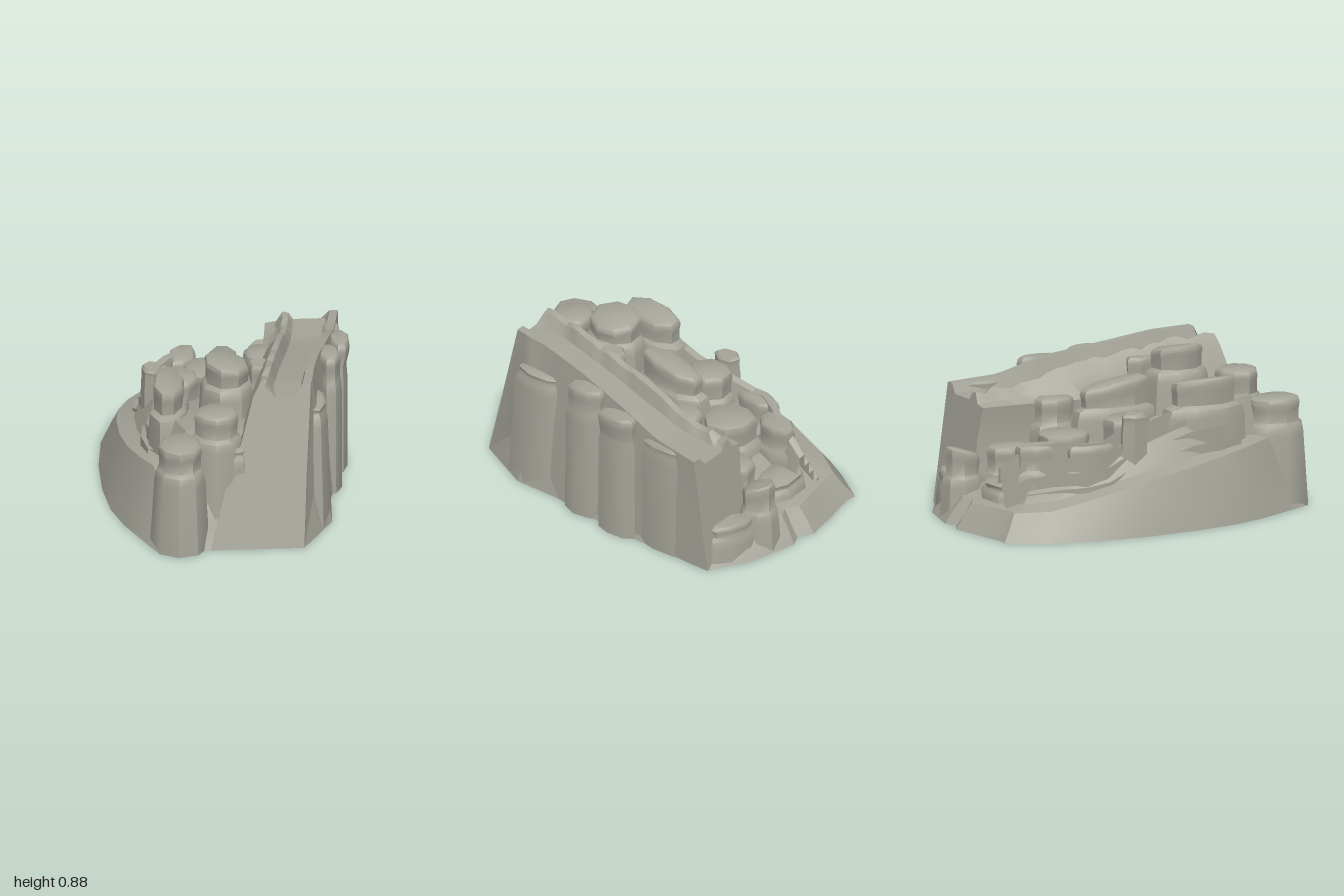
import * as THREE from 'three';
import { toCreasedNormals } from 'three/addons/utils/BufferGeometryUtils.js';

const stone = new THREE.MeshStandardMaterial({ color: 0xa3a398, side: THREE.DoubleSide });
stone.name = 'stone';

const lerp = THREE.MathUtils.lerp;
// piecewise-linear table lookup on the first column
function sample(table, t) {
  let i = 0;
  while (i < table.length - 2 && t > table[i + 1][0]) i++;
  const a = table[i], b = table[i + 1];
  const k = THREE.MathUtils.clamp((t - a[0]) / (b[0] - a[0]), 0, 1);
  return a.map((v, j) => lerp(v, b[j], k));
}
let seed = 7;
const rand = () => ((seed = (seed * 16807) % 2147483647) / 2147483647);

// skin through rings of points; closed rings get end caps
function loft(rings, closed = true, crease = 0.6) {
  const n = rings[0].length, pos = rings.flat(2), idx = [];
  const at = (r, i) => r * n + (i % n);
  for (let r = 0; r < rings.length - 1; r++)
    for (let i = 0; i < (closed ? n : n - 1); i++)
      idx.push(at(r, i), at(r + 1, i), at(r, i + 1), at(r, i + 1), at(r + 1, i), at(r + 1, i + 1));
  if (closed) [0, rings.length - 1].forEach((r) => {
    const c = [0, 1, 2].map((k) => rings[r].reduce((s, p) => s + p[k], 0) / n);
    const ci = pos.length / 3;
    pos.push(...c);
    for (let i = 0; i < n; i++) {
      if (r) idx.push(ci, at(r, i + 1), at(r, i));
      else idx.push(ci, at(r, i), at(r, i + 1));
    }
  });
  const g = new THREE.BufferGeometry();
  g.setAttribute('position', new THREE.Float32BufferAttribute(pos, 3));
  g.setIndex(idx);
  return toCreasedNormals(g, crease);
}

const shelfY = (z) => sample([[-1, 0.13], [-0.7, 0.15], [-0.2, 0.27], [0.4, 0.37], [0.7, 0.4], [0.86, 0.18]], z)[1];
const floorY = (z) => sample([[-0.9, 0.17], [-0.6, 0.25], [-0.3, 0.36], [0, 0.46], [0.5, 0.6]], z)[1];

export function createModel() {
  const group = new THREE.Group();
  const add = (name, geo) => {
    const m = new THREE.Mesh(geo, stone);
    m.name = name;
    group.add(m);
  };

  // sloping rock skirt with a rising shelf and the ground between the columns
  const outline = [
    [0.64, -0.7], [0.62, -0.3], [0.59, 0], [0.54, 0.3], [0.53, 0.58], [0.43, 0.77], [0.36, 0.9],
    [0, 0.9], [-0.43, 0.9], [-0.5, 0.74], [-0.58, 0.56], [-0.64, 0.36], [-0.67, 0.1], [-0.67, -0.2],
    [-0.64, -0.48], [-0.56, -0.76], [-0.43, -0.95], [-0.37, -0.94], [-0.2, -0.97], [0, -1],
    [0.08, -0.95], [0.15, -0.98], [0.43, -0.9], [0.64, -0.76],
  ];
  const ring = (sx, sz, f) => outline.map(([x, z], i) => [x * sx, f(z * sz, i), z * sz]);
  add('rockSkirt', loft([
    ring(1, 1, () => 0),
    ring(0.93, 0.95, (z, i) => shelfY(z) * (0.46 + 0.1 * (i % 2))),
    ring(0.86, 0.9, (z) => shelfY(z)),
    ring(0.72, 0.8, (z) => shelfY(z) + 0.02),
    ring(0.6, 0.74, floorY),
    ring(0.3, 0.4, floorY),
  ], true, 0.4));

  // long ridge with a channel along its top: z, left rim, right rim, right base, rim y, channel y
  const ridge = [
    [-0.68, 0.31, 0.64, 0.64, 0.65, 0.6], [-0.4, 0.28, 0.6, 0.62, 0.67, 0.61],
    [-0.15, 0.24, 0.56, 0.6, 0.75, 0.66], [0.2, 0.18, 0.48, 0.56, 0.81, 0.73],
    [0.45, 0.14, 0.44, 0.51, 0.85, 0.77], [0.58, 0.115, 0.425, 0.52, 0.855, 0.78],
    [0.67, 0.1, 0.41, 0.36, 0.86, 0.79],
  ];
  const stations = [];
  const count = 26;
  for (let i = 0; i <= count; i++) {
    const [z, xl, xr, xb, y, yc] = sample(ridge, lerp(-0.68, 0.67, i / count));
    const jag = i % count ? (rand() - 0.5) * 0.03 : 0;
    const front = THREE.MathUtils.smoothstep(z, 0.5, 0.67);
    const wall = xr + (xb - xr) * 0.6;
    const section = [
      [xl - lerp(0.1, 0.24, front), 0], [xl - 0.04 - front * 0.12, 0.4 - front * 0.1], [xl - 0.06, 0.58],
      [xl + jag * 0.4, y - 0.06], [xl + 0.035 + jag * 0.5, y + jag], [xl + 0.065 + jag * 0.3, y - 0.01 + jag],
      [xl + 0.09 + 0.03 * front, yc], [xr - 0.065, yc], [xr - 0.045, y + jag * 0.3], [xr, y], [wall, 0.4], [xb, 0],
    ];
    const slope = i === count ? 0.23 : i === 0 ? -0.09 : 0;
    stations.push(section.map(([x, h]) => [x, h, z + slope * Math.max(0, 1 - h / y)]));
  }
  add('channelRidge', loft(stations));

  // rock columns: flared foot, shoulder, pinched neck and rounded cap
  // tilt = [rise per x, rise per z] of the top
  function column(name, x, z, rx, rz, y0, y1, { turn = 0, sides = 8, tilt = [0, 0], cap = 0.15, foot = 1.35, shoulder = 1.16, lean = 0 } = {}) {
    const wob = Array.from({ length: sides }, () => 0.94 + rand() * 0.12);
    const profile = [
      [foot, y0], [shoulder + 0.04, y1 - cap - 0.05], [shoulder - 0.03, y1 - cap], [0.96, y1 - cap + 0.02],
      [0.96, y1 - cap * 0.45], [1, y1 - cap * 0.25], [0.95, y1 - 0.012], [0.8, y1],
    ];
    add(name, loft(profile.map(([s, y], k) => wob.map((w, i) => {
      const a = (i / sides) * Math.PI * 2 + 0.3;
      const u = Math.cos(a) * rx * s * w, v = Math.sin(a) * rz * s * w;
      const dx = u * Math.cos(turn) - v * Math.sin(turn), dz = u * Math.sin(turn) + v * Math.cos(turn);
      const t = k > 3 ? 1 : 0;
      return [x + dx + lean * t, y + t * (dx * tilt[0] + dz * tilt[1]), z + dz];
    })), true, 0.75));
  }
  // front pair and the broad shoulder joining them to the ridge
  column('frontColumn', -0.295, 0.79, 0.115, 0.145, 0, 0.59, { foot: 1.35, sides: 9, shoulder: 1.12 });
  column('frontColumn', -0.09, 0.68, 0.12, 0.115, 0, 0.72, { foot: 1.5, sides: 9 });
  column('frontShoulder', -0.01, 0.69, 0.1, 0.1, 0.1, 0.53, { foot: 1.1, cap: 0.06, shoulder: 1.12 });
  // inner columns
  column('innerColumn', -0.02, 0.34, 0.125, 0.145, 0.35, 0.86, { tilt: [-0.2, 0], cap: 0.13 });
  column('innerColumn', -0.33, 0.33, 0.085, 0.185, 0.25, 0.74, { turn: 0.12, tilt: [-0.2, 0], shoulder: 1.25 });
  column('innerColumn', -0.02, -0.04, 0.08, 0.2, 0.3, 0.71, { turn: 0.1, tilt: [0, 0.15], shoulder: 1.2 });
  column('innerColumn', -0.26, -0.1, 0.125, 0.125, 0.2, 0.57);
  column('innerColumn', -0.07, -0.38, 0.145, 0.145, 0.15, 0.48);
  column('innerColumn', 0.2, -0.28, 0.09, 0.11, 0.15, 0.61);
  column('innerColumn', 0.16, -0.59, 0.105, 0.125, 0.1, 0.39);
  column('innerColumn', -0.34, -0.37, 0.07, 0.14, 0.15, 0.46, { turn: 0.15, shoulder: 1.2 });
  column('innerColumn', -0.2, -0.6, 0.075, 0.13, 0.12, 0.46, { turn: 0.3, shoulder: 1.2 });
  // low rocks at the back
  column('backRock', 0.25, -0.82, 0.085, 0.095, 0, 0.37, { tilt: [0, -0.3] });
  column('backRock', 0.44, -0.78, 0.14, 0.06, 0, 0.22, { turn: 0.3, cap: 0.08 });
  column('backLedge', -0.06, -0.72, 0.16, 0.1, 0, 0.25, { cap: 0.06 });
  // buttresses on the right cliff
  column('cliffColumn', 0.54, 0.11, 0.06, 0.115, 0, 0.78, { foot: 1.15, shoulder: 1.08 });
  column('cliffColumn', 0.6, -0.15, 0.055, 0.12, 0, 0.74, { foot: 1.05, shoulder: 1, lean: 0.014 });
  column('cliffColumn', 0.59, -0.45, 0.045, 0.15, 0, 0.65, { foot: 1.1, shoulder: 1.05, cap: 0.06 });
  column('cliffButtress', 0.42, 0.48, 0.085, 0.16, 0, 0.69, { foot: 1.4, cap: 0.06, shoulder: 1.1 });
  // rock joining the inner columns to the ridge
  column('saddleRock', 0.16, 0.22, 0.06, 0.08, 0.3, 0.78, { sides: 6 });

  // stepped terrace walls winding up the left side: x, z, foot height, riser height
  const path = [
    [-0.25, -0.84, 0.11, 0.06], [-0.28, -0.72, 0.13, 0.08], [-0.38, -0.58, 0.16, 0.08], [-0.46, -0.45, 0.18, 0.075],
    [-0.48, -0.32, 0.21, 0.065], [-0.45, -0.18, 0.26, 0.065], [-0.45, 0.02, 0.3, 0.065], [-0.46, 0.2, 0.34, 0.07],
    [-0.48, 0.36, 0.36, 0.07], [-0.45, 0.5, 0.36, 0.06],
  ];
  const steps = [[0, -0.06, 0]];
  for (let k = 0; k < 4; k++) steps.push([k * 0.032, 0, k + 1], [(k + 1) * 0.032, -0.012, k + 1]);
  steps.push([0.17, 0.05, 0]);
  add('terraceSteps', loft(path.map(([x, z, y, riser], i) => {
    const a = path[Math.max(i - 1, 0)], b = path[Math.min(i + 1, path.length - 1)];
    const dx = b[0] - a[0], dz = b[1] - a[1], l = Math.hypot(dx, dz);
    return steps.map(([s, h, k]) => [x + (dz / l) * s, y + h + k * riser, z - (dx / l) * s]);
  }), false, 0.5));

  // small square outcrop above the terraces
  column('terraceBlock', -0.39, -0.13, 0.055, 0.08, 0.3, 0.61, { sides: 6, cap: 0.06, foot: 1.1, shoulder: 1 });

  return group;
}
